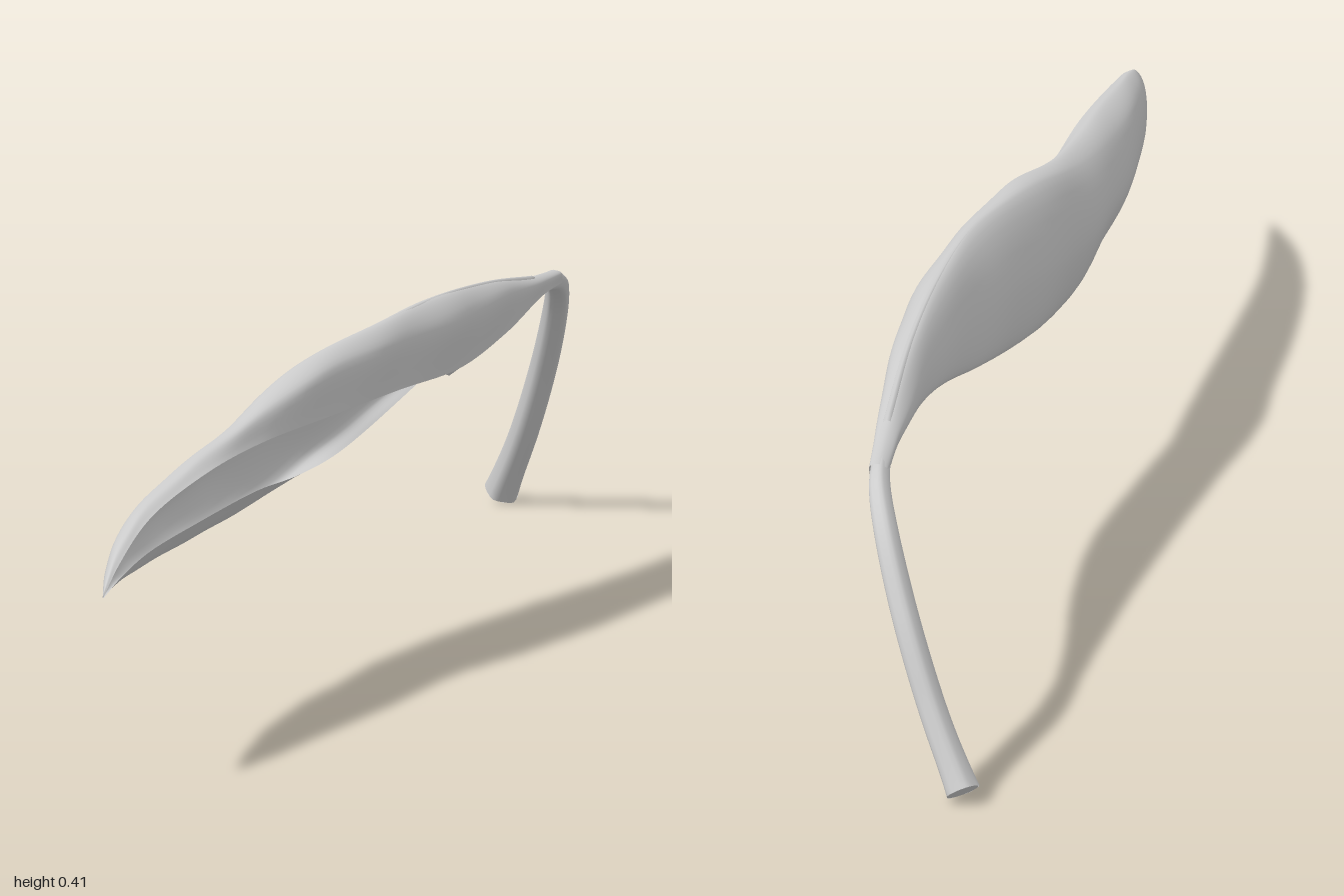
import * as THREE from 'three';

const material = new THREE.MeshStandardMaterial({ color: 0xcccccc, side: THREE.DoubleSide });
const v = (x, y, z) => new THREE.Vector3(x, y, z);

// Grid surface from a function (row, column) -> point
function gridSurface(rows, cols, point) {
  const pos = [], idx = [];
  for (let i = 0; i <= rows; i++) {
    for (let j = 0; j <= cols; j++) pos.push(...point(i / rows, j / cols).toArray());
  }
  for (let i = 0; i < rows; i++) {
    for (let j = 0; j < cols; j++) {
      const a = i * (cols + 1) + j, b = a + cols + 1;
      idx.push(a, a + 1, b, b, a + 1, b + 1);
    }
  }
  const g = new THREE.BufferGeometry();
  g.setAttribute('position', new THREE.Float32BufferAttribute(pos, 3));
  g.setIndex(idx);
  g.computeVertexNormals();
  return g;
}

// Tube whose radius follows a function of its length
function taperedTube(points, radius, segments, sides) {
  const curve = new THREE.CatmullRomCurve3(points);
  const frames = curve.computeFrenetFrames(segments);
  return gridSurface(segments, sides, (u, w) => {
    const i = Math.round(u * segments), a = w * Math.PI * 2;
    return curve.getPointAt(u)
      .addScaledVector(frames.normals[i], Math.cos(a) * radius(u, a))
      .addScaledVector(frames.binormals[i], Math.sin(a) * radius(u, a));
  });
}

// Blade sections: z, then x,y of upper margin, ridge, midrib, lower fold, underside, rolled lower margin
const SECTIONS = [
  [-0.72, 0.086, 0.330, 0.086, 0.342, 0.074, 0.345, 0.063, 0.338, 0.066, 0.328, 0.074, 0.327],
  [-0.60, 0.092, 0.335, 0.090, 0.352, 0.075, 0.358, 0.060, 0.350, 0.058, 0.341, 0.064, 0.336],
  [-0.40, 0.098, 0.325, 0.095, 0.373, 0.070, 0.388, 0.046, 0.360, 0.041, 0.328, 0.050, 0.322],
  [-0.20, 0.090, 0.316, 0.090, 0.380, 0.055, 0.405, 0.016, 0.350, 0.006, 0.290, 0.022, 0.281],
  [0.00, 0.065, 0.324, 0.060, 0.385, 0.030, 0.404, -0.025, 0.330, -0.030, 0.255, -0.008, 0.245],
  [0.20, 0.030, 0.326, 0.020, 0.380, -0.020, 0.385, -0.069, 0.295, -0.055, 0.228, -0.012, 0.249],
  [0.40, -0.008, 0.326, -0.025, 0.350, -0.055, 0.340, -0.091, 0.275, -0.066, 0.223, -0.016, 0.264],
  [0.60, -0.028, 0.322, -0.048, 0.330, -0.080, 0.314, -0.100, 0.260, -0.076, 0.224, -0.034, 0.262],
  [0.80, -0.048, 0.300, -0.062, 0.304, -0.083, 0.290, -0.090, 0.252, -0.074, 0.230, -0.050, 0.257],
  [0.93, -0.052, 0.268, -0.060, 0.271, -0.069, 0.262, -0.072, 0.246, -0.065, 0.235, -0.053, 0.247],
  [1.00, -0.055, 0.238, -0.056, 0.239, -0.056, 0.238, -0.056, 0.237, -0.056, 0.236, -0.055, 0.236],
];

export function createModel() {
  const group = new THREE.Group();
  group.name = 'leaf';
  const add = (name, geometry) => {
    const mesh = new THREE.Mesh(geometry, material);
    mesh.name = name;
    group.add(mesh);
  };

  // Six lengthwise guide curves, splined across into an arched sheet with a rolled edge
  const guides = [0, 1, 2, 3, 4, 5].map((k) =>
    new THREE.CatmullRomCurve3(SECTIONS.map((s) => v(s[1 + 2 * k], s[2 + 2 * k], s[0]))));
  add('blade', gridSurface(110, 32, (u, w) => {
    const p = new THREE.CatmullRomCurve3(guides.map((c) => c.getPoint(u))).getPoint(w);
    // faint slanting wrinkles between midrib and margins
    p.x += 0.0012 * Math.sin(2 * Math.PI * w) * Math.sin(Math.PI * u) * Math.sin(u * 60 + w * 9);
    return p;
  }));

  // Midrib hidden in the hollow underside
  const ribPoints = SECTIONS.slice(1, 10).map((s) => v(s[5] + 0.003, s[6] - 0.004, s[0]));
  add('midrib', taperedTube(ribPoints, (u) => 0.005 * (1 - u) + 0.001, 80, 8));

  // Stalk with shallow lengthwise grooves, flaring slightly at its foot
  const stemPoints = [
    v(-0.060, 0.011, -0.982), v(-0.019, 0.095, -0.937), v(0.023, 0.2, -0.881),
    v(0.056, 0.29, -0.81), v(0.071, 0.326, -0.745), v(0.075, 0.339, -0.66), v(0.074, 0.350, -0.56),
  ];
  const stemRadius = (u, a) =>
    (0.0175 + 0.004 * Math.exp(-u * 14) - 0.013 * Math.pow(u, 3)) * (1 + 0.06 * Math.cos(5 * a));
  add('stem', taperedTube(stemPoints, stemRadius, 60, 20));

  // Cut face at the foot of the stalk
  const foot = new THREE.CircleGeometry(0.021, 20);
  foot.lookAt(stemPoints[0].clone().sub(stemPoints[1]));
  foot.translate(...stemPoints[0].toArray());
  add('stemFoot', foot);

  // Small torn tooth on the upper margin
  const tooth = new THREE.BufferGeometry().setFromPoints([
    v(0.092, 0.318, -0.24), v(0.078, 0.307, -0.195), v(0.085, 0.32, -0.14),
  ]);
  tooth.computeVertexNormals();
  add('marginTooth', tooth);

  return group;
}
